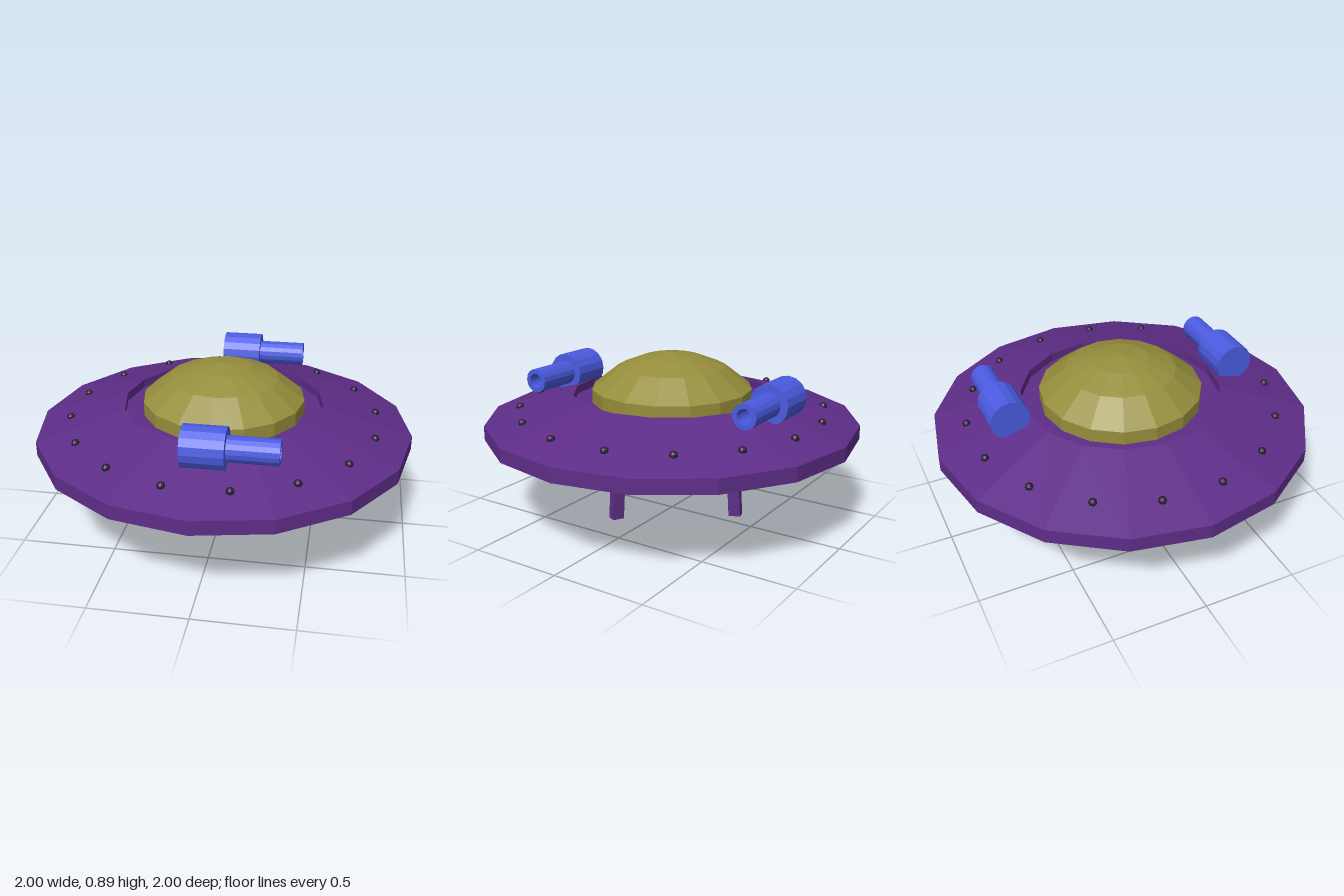
import * as THREE from 'three';

const SIDES = 16;
const flat = (color) => new THREE.MeshStandardMaterial({ color, flatShading: true });
const purple = flat(0x5e2d88);
const olive = flat(0x968e3c);
const amber = flat(0xb8963a);
const blue = flat(0x4a5be0);
const dark = flat(0x2c1a36);

// Faceted solid of revolution from [radius, height] pairs, listed bottom to top
function lathe(points, segments = SIDES, start = 0, length = Math.PI * 2) {
  return new THREE.LatheGeometry(points.map(([r, y]) => new THREE.Vector2(r, y)), segments, start, length);
}

function add(parent, name, geometry, material) {
  const mesh = new THREE.Mesh(geometry, material);
  mesh.name = name;
  parent.add(mesh);
  return mesh;
}

function subgroup(parent, name) {
  const group = new THREE.Group();
  group.name = name;
  parent.add(group);
  return group;
}

export function createModel() {
  const model = new THREE.Group();
  model.name = 'flyingSaucer';

  // Saucer disc with a recessed ring above and below
  add(model, 'hull', lathe([
    [0.43, 0.375], [0.53, 0.375], [0.53, 0.33], [1, 0.46],
    [1, 0.535], [0.53, 0.675], [0.53, 0.63], [0.42, 0.63],
  ]), purple);

  // Tapered drum under the disc
  add(model, 'base', lathe([[0, 0.195], [0.285, 0.195], [0.43, 0.298], [0.43, 0.375]]), purple);

  // Canopy
  add(model, 'dome', lathe([
    [0.43, 0.63], [0.43, 0.702], [0.29, 0.812], [0.15, 0.866], [0, 0.888],
  ]), olive);

  // Light panels on every other underside facet
  const panels = subgroup(model, 'lightPanels');
  const facet = (Math.PI * 2) / SIDES;
  for (let i = 1; i < SIDES; i += 2) {
    add(panels, 'lightPanel', lathe([[0.69, 0.371], [0.82, 0.407]], 1, i * facet, facet), amber);
  }

  // Small studs centred on the upper facets
  const studs = subgroup(model, 'studs');
  const studGeometry = new THREE.SphereGeometry(0.021, 10, 8);
  for (let i = 0; i < SIDES; i++) {
    const a = (i + 0.5) * facet;
    add(studs, 'stud', studGeometry, dark)
      .position.set(0.82 * Math.sin(a), 0.587, 0.82 * Math.cos(a));
  }

  // Pair of hollow-barrelled cannons pointing to +x
  const cannonGeometry = lathe([
    [0, -0.092], [0.104, -0.092], [0.104, 0.12], [0.064, 0.12],
    [0.064, 0.37], [0.04, 0.37], [0.04, 0.2], [0, 0.2],
  ]);
  cannonGeometry.rotateZ(-Math.PI / 2);
  for (const side of [-1, 1]) {
    add(model, side > 0 ? 'frontCannon' : 'backCannon', cannonGeometry, blue)
      .position.set(0, 0.718, side * 0.64);
  }

  // Three slightly splayed landing legs: [x, z, lift]
  const legGeometry = new THREE.BoxGeometry(0.045, 0.25, 0.065);
  legGeometry.rotateX(-0.06);
  for (const [x, z, lift] of [[0.32, 0.14, 0.014], [-0.083, -0.352, 0.003], [-0.302, 0.215, 0]]) {
    const leg = add(model, 'landingLeg', legGeometry, purple);
    leg.position.set(x, 0.127 + lift, z);
    leg.rotation.y = Math.atan2(x, z);
  }

  return model;
}
